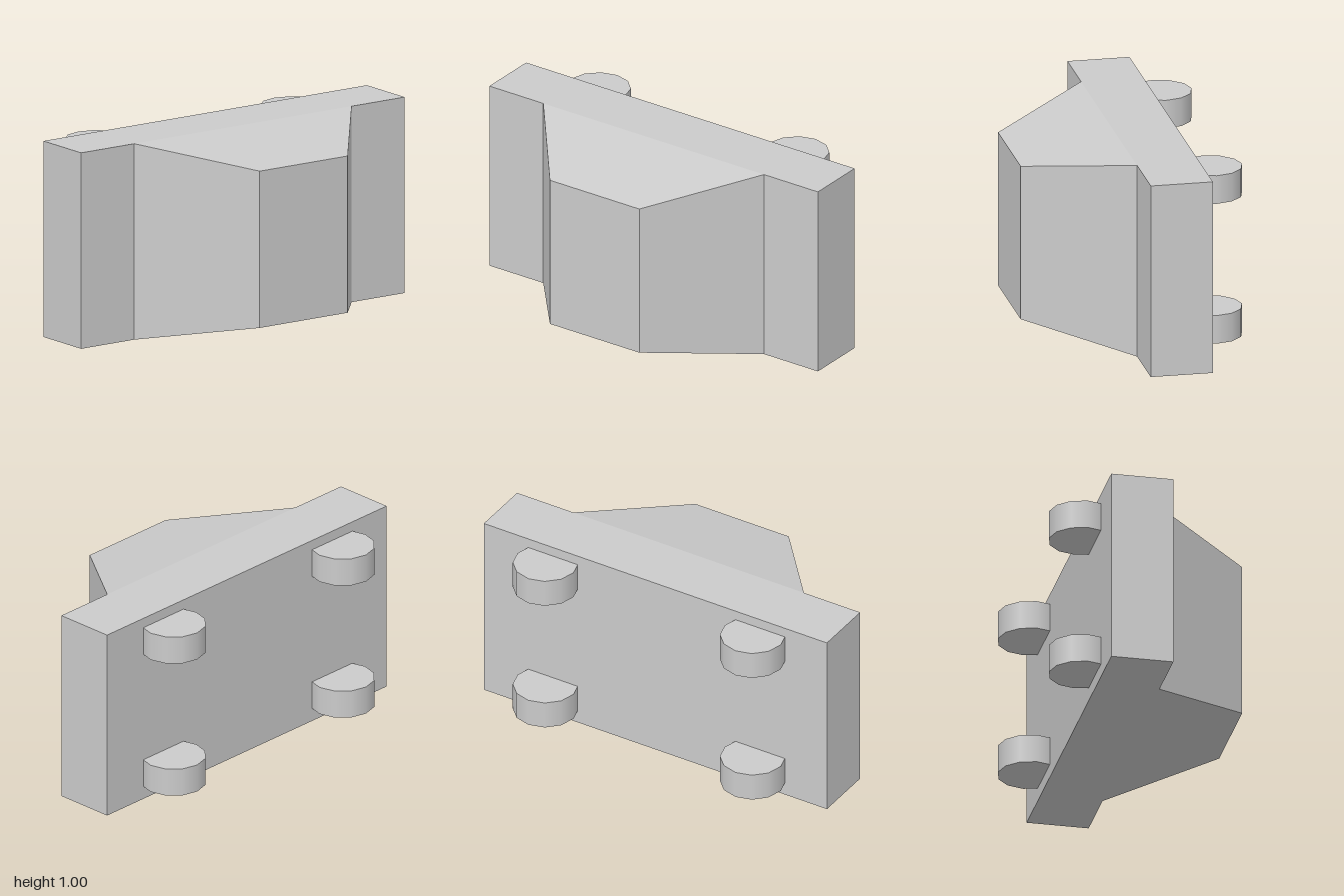
import * as THREE from 'three';

const material = new THREE.MeshStandardMaterial({ color: 0xcccccc });

function addMesh(group, name, geometry, x, y, z) {
  const mesh = new THREE.Mesh(geometry, material);
  mesh.name = name;
  mesh.position.set(x, y, z);
  group.add(mesh);
  return mesh;
}

// Box whose front face is narrowed in x and y
function taperedBox(width, height, depth, frontX, frontY) {
  const geometry = new THREE.BoxGeometry(width, height, depth);
  const p = geometry.attributes.position;
  for (let i = 0; i < p.count; i++) {
    if (p.getZ(i) > 0) p.setXY(i, p.getX(i) * frontX, p.getY(i) * frontY);
  }
  geometry.computeVertexNormals();
  return geometry;
}

export function createModel() {
  const model = new THREE.Group();
  model.name = 'mountedBlock';

  const plateBack = -0.294, plateFront = 0.021, front = 0.527;

  // Flat upright plate
  const plateDepth = plateFront - plateBack;
  addMesh(model, 'backPlate', new THREE.BoxGeometry(2, 1, plateDepth),
    0, 0.5, (plateBack + plateFront) / 2);

  // Tapered block on the front
  const depth = front - plateFront;
  addMesh(model, 'taperedFront', taperedBox(1.344, 1, depth, 0.272 / 0.672, 0.8),
    0, 0.5, plateFront + depth / 2);

  // Four upright round lugs, partly sunk into the back of the plate
  const radius = 0.163;
  const lugGeometry = new THREE.CylinderGeometry(radius, radius, 0.147, 12);
  for (const [side, x] of [['left', 0.597], ['right', -0.611]]) {
    for (const [level, y] of [['Upper', 0.875], ['Lower', 0.143]]) {
      addMesh(model, `${side}${level}Lug`, lugGeometry, x, y, -front + radius);
    }
  }

  return model;
}
